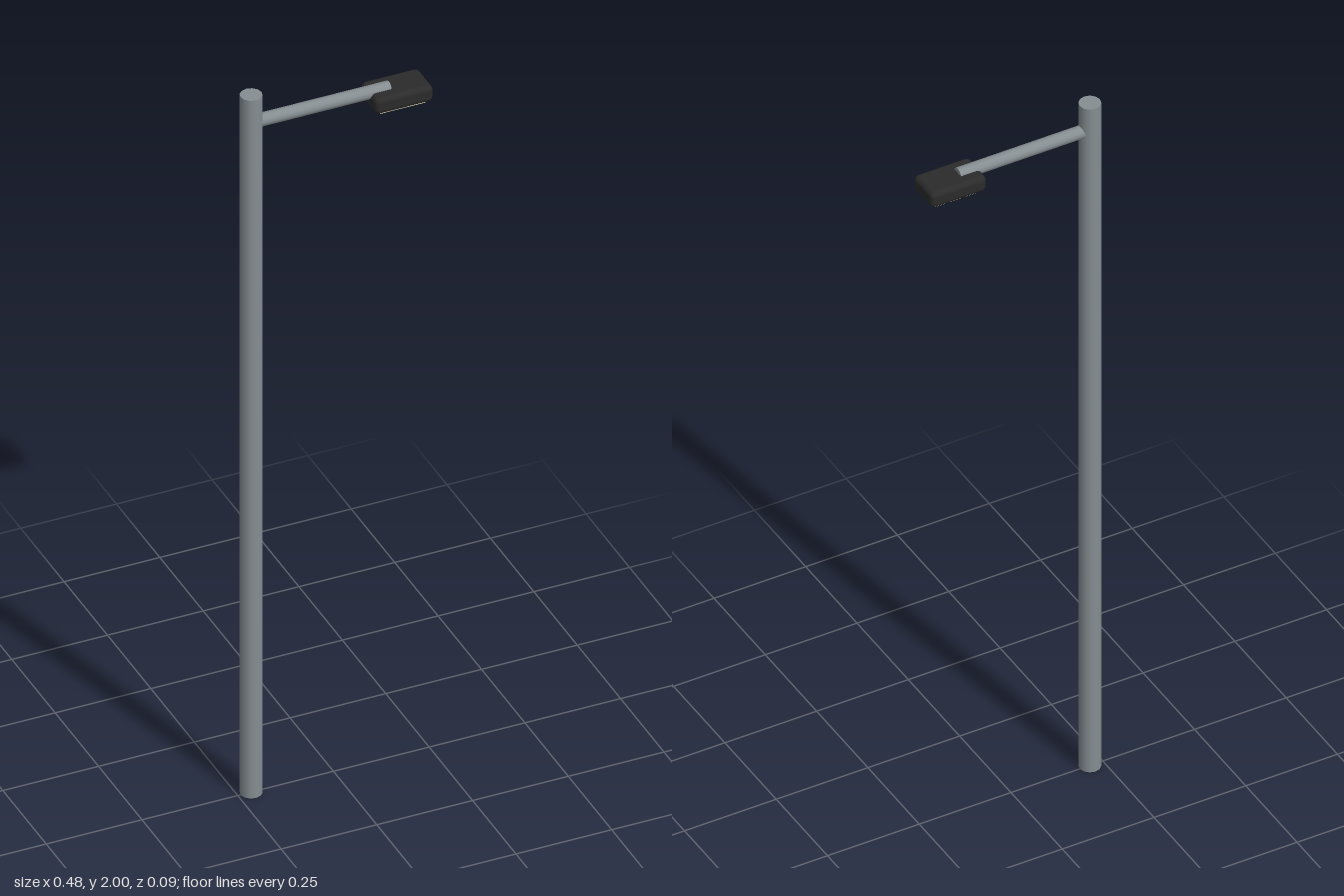
import * as THREE from 'three';
import { RoundedBoxGeometry } from 'three/addons/geometries/RoundedBoxGeometry.js';

export function createModel() {
  const group = new THREE.Group();
  const metal = new THREE.MeshStandardMaterial({ color: 0x868e92 });
  const housing = new THREE.MeshStandardMaterial({ color: 0x2b2b2b });
  const glow = new THREE.MeshStandardMaterial({ color: 0xfff2c4 });

  const add = (name, geometry, material, x, y, z = 0) => {
    const mesh = new THREE.Mesh(geometry, material);
    mesh.name = name;
    mesh.position.set(x, y, z);
    group.add(mesh);
    return mesh;
  };

  const poleX = -0.215;
  const armEnd = 0.145;
  const headX = 0.166;

  // Upright pole
  add('pole', new THREE.CylinderGeometry(0.0275, 0.0275, 2, 12), metal, poleX, 1);

  // Horizontal arm, from the pole's axis to the top of the lamp head
  const arm = add('arm', new THREE.CylinderGeometry(0.017, 0.017, armEnd - poleX, 12), metal,
    (poleX + armEnd) / 2, 1.921);
  arm.rotation.z = -Math.PI / 2;

  // Lamp head with rounded edges
  add('lampHead', new RoundedBoxGeometry(0.152, 0.045, 0.094, 3, 0.0135), housing, headX, 1.903);

  // Light panel set into the underside
  add('lightPanel', new THREE.BoxGeometry(0.118, 0.008, 0.068), glow, headX, 1.88);

  return group;
}
